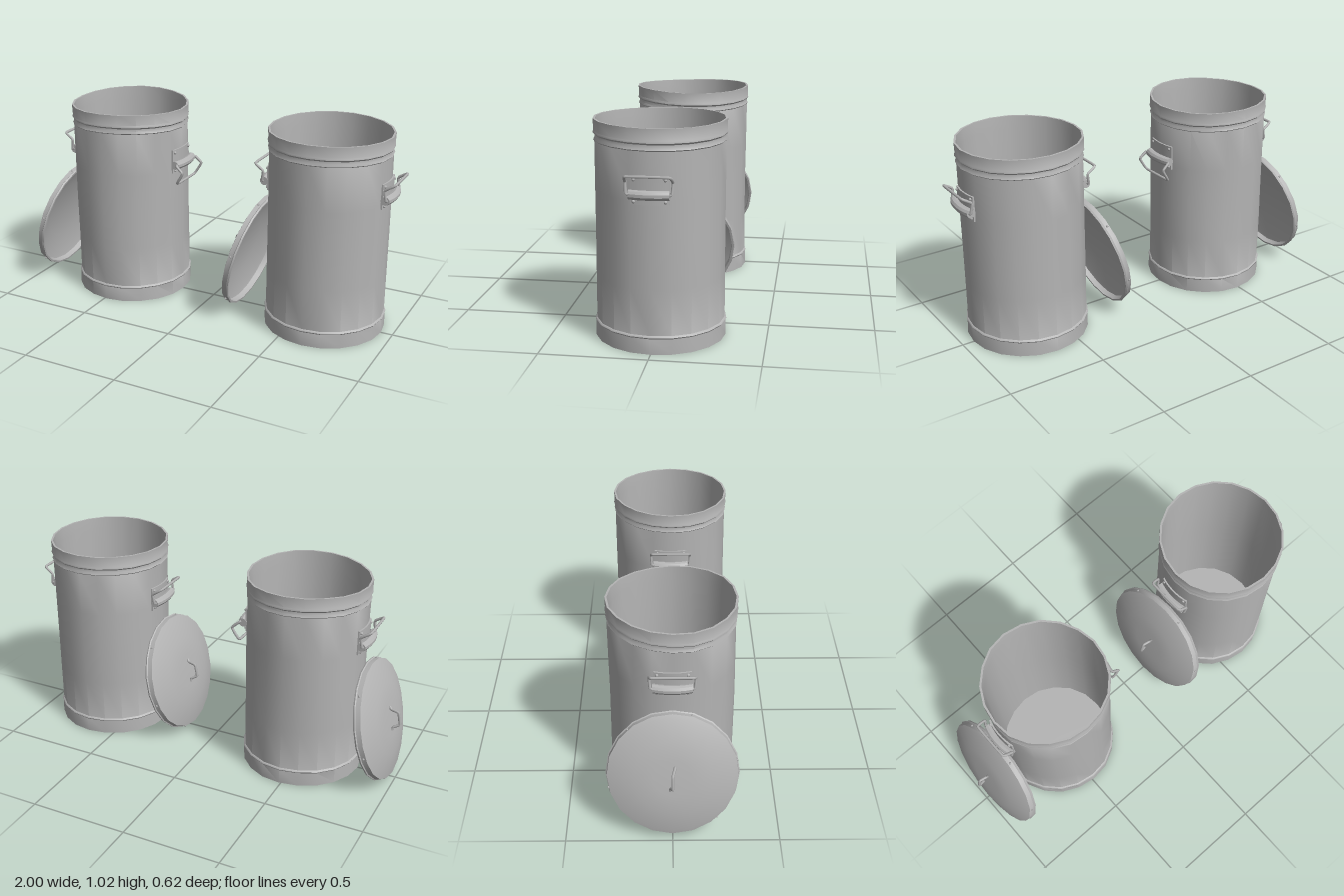
import * as THREE from 'three';
import { toCreasedNormals } from 'three/addons/utils/BufferGeometryUtils.js';

const metal = new THREE.MeshStandardMaterial({ color: 0xb4b4b4, side: THREE.DoubleSide });
metal.name = 'galvanised grey';

const SIDES = 20, R = 0.3;

function add(parent, name, geometry) {
  const mesh = new THREE.Mesh(geometry, metal);
  mesh.name = name;
  parent.add(mesh);
  return mesh;
}

// Move every vertex by a rule, then keep only the sharp edges creased
function reshape(geometry, rule) {
  const p = geometry.attributes.position, v = new THREE.Vector3();
  for (let i = 0; i < p.count; i++) {
    rule(v.fromBufferAttribute(p, i));
    p.setXYZ(i, v.x, v.y, v.z);
  }
  return toCreasedNormals(geometry, 0.6);
}

const lathe = (points) =>
  new THREE.LatheGeometry(points.map(([r, y]) => new THREE.Vector2(r, y)), SIDES);

function wire(points, radius) {
  const path = new THREE.CatmullRomCurve3(
    points.map((p) => new THREE.Vector3(...p)), false, 'catmullrom', 0.15);
  return new THREE.TubeGeometry(path, points.length * 6, radius, 6);
}

// Shallow dents in the sheet metal
const dent = (amount) => (v) => {
  const a = Math.atan2(v.x, v.z);
  const k = 1 + amount * (Math.sin(3 * a + 5 * v.y) + 0.6 * Math.sin(7 * a - 9 * v.y));
  v.x *= k;
  v.z *= k;
  if (v.y > 0.9) v.y -= amount * (1 + Math.sin(2 * a + 4));
};

// Side handle facing +x: curved plate, rolled sleeve, rivets and wire bail
function makeHandle(hanging) {
  const g = new THREE.Group();
  const wrap = (v) => { v.x += Math.sqrt(R * R - v.z * v.z) - R; };

  const plate = new THREE.BoxGeometry(0.008, 0.125, 0.17, 1, 1, 8);
  plate.translate(R + 0.005, 0.748, 0);
  add(g, 'handlePlate', reshape(plate, wrap));

  const sleeve = new THREE.CylinderGeometry(0.022, 0.022, 0.18, 10, 6);
  sleeve.rotateX(Math.PI / 2).translate(R + 0.024, 0.732, 0);
  add(g, 'handleSleeve', reshape(sleeve, wrap));

  for (const y of [0.699, 0.796]) {
    for (const z of [-0.07, 0.07]) {
      const rivet = add(g, 'rivet', new THREE.SphereGeometry(0.008, 8, 6));
      rivet.position.set(R + 0.001, y, z);
    }
  }

  const profile = hanging
    ? [[0.324, 0.735], [0.362, 0.7], [0.325, 0.638]]
    : [[0.318, 0.735], [0.31, 0.79], [0.357, 0.82]];
  const [pivot, bend, end] = profile;
  add(g, 'handleBail', wire([
    [...pivot, 0.085], [...pivot, 0.1], [...bend, 0.104], [...end, 0.094],
    [...end, -0.094], [...bend, -0.104], [...pivot, -0.1], [...pivot, -0.085],
  ], 0.007));
  return g;
}

// Lid with its rim plane at local y = 0 and the dome rising along +y
function makeLid() {
  const g = new THREE.Group();
  g.name = 'lid';
  const shell = lathe([
    [0, 0.066], [0.16, 0.064], [0.275, 0.034], [0.292, 0.028], [0.296, 0],
    [0.306, 0], [0.309, 0.008], [0.304, 0.012], [0.302, 0.036],
    [0.285, 0.042], [0.18, 0.072], [0.09, 0.077], [0, 0.078],
  ]);
  add(g, 'lidShell', reshape(shell, dent(0.003)));
  add(g, 'lidHandle', wire([
    [-0.06, 0.078, -0.012], [-0.045, 0.085, -0.008], [-0.034, 0.118, 0],
    [0.03, 0.122, 0], [0.045, 0.085, 0.008], [0.06, 0.078, 0.012],
  ], 0.007));
  for (let i = 0; i < 6; i++) {
    const a = (i / 6) * Math.PI * 2 + 0.3;
    const rivet = add(g, 'lidRivet', new THREE.SphereGeometry(0.006, 6, 5));
    rivet.position.set(0.303 * Math.cos(a), 0.024, 0.303 * Math.sin(a));
  }
  return g;
}

function makeCan(name, dentAmount, hanging) {
  const g = new THREE.Group();
  g.name = name;

  // Outer wall with base band, bead and rim, then the inner wall and floor
  const body = lathe([
    [0, 0.008], [0.29, 0.006], [0.296, 0], [0.306, 0], [0.304, 0.072],
    [0.308, 0.078], [0.304, 0.084], [0.3, 0.086], [0.3, 0.3], [0.3, 0.5],
    [0.3, 0.7], [0.3, 0.922], [0.305, 0.927], [0.299, 0.938], [0.299, 0.95],
    [0.307, 0.958], [0.306, 0.966], [0.304, 0.97], [0.306, 1.022],
    [0.296, 1.022], [0.292, 0.96], [0.292, 0.5], [0.292, 0.02], [0, 0.02],
  ]);
  add(g, 'canBody', reshape(body, dent(dentAmount)));

  const left = makeHandle(hanging);
  left.name = 'leftHandle';
  const right = makeHandle(false);
  right.name = 'rightHandle';
  right.rotation.y = Math.PI;
  g.add(left, right);

  // Lid leaning against the side
  const lid = makeLid();
  lid.rotation.z = 1.325;
  lid.position.set(-0.385, 0.315, 0);
  g.add(lid);
  return g;
}

export function createModel() {
  const model = new THREE.Group();
  model.name = 'metalBins';
  const dented = makeCan('dentedBin', 0.006, true);
  dented.position.x = -0.49;
  const plain = makeCan('plainBin', 0.0025, false);
  plain.position.x = 0.635;
  model.add(dented, plain);
  return model;
}
